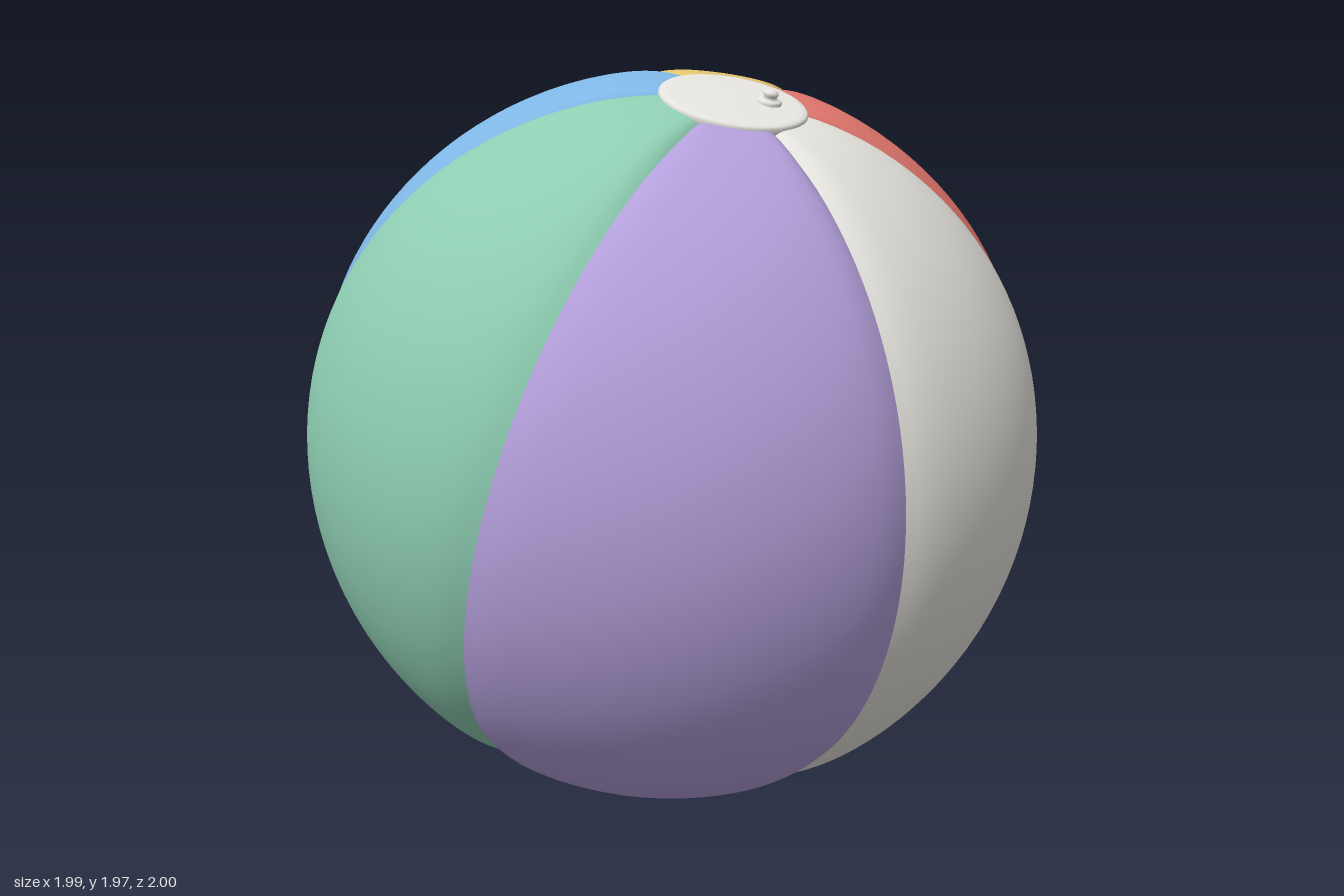
import * as THREE from 'three';

const CENTRE_Y = 0.967;
const TILT = new THREE.Euler(0.394, -0.035, -0.133, 'XZY');
const STEP = Math.PI / 3;

// Panel colours, in order around the ball from the left side (+x) towards the front
const COLOURS = [
  ['white', 0xe6e4de], ['purple', 0xb39fda], ['green', 0x8ecdb2],
  ['blue', 0x7eb6e4], ['yellow', 0xe2c36e], ['red', 0xe3776d],
];

// One gore from pole to pole: puffed in the middle, pinched at its seams, flattened on the ground
function panelGeometry(index, matrix) {
  const geo = new THREE.SphereGeometry(1, 32, 72, Math.PI - (index + 1) * STEP, STEP);
  const pos = geo.attributes.position, uv = geo.attributes.uv;
  const v = new THREE.Vector3();
  const soft = 0.02;
  for (let i = 0; i < pos.count; i++) {
    v.fromBufferAttribute(pos, i);
    const row = Math.floor(i / 33);
    const theta = (row / 72) * Math.PI;
    const t = Math.abs(((i % 33) / 32) * 2 - 1);
    const fromPole = Math.min(theta, Math.PI - theta);
    const pinch = 0.018 * Math.pow(t, 8) * Math.min(1, fromPole / 0.3);
    const poleDip = 0.02 * Math.exp(-Math.pow(fromPole / 0.2, 2));
    v.multiplyScalar(1 - pinch - poleDip).applyMatrix4(matrix);
    // Soft contact with the ground plane
    const h = Math.max(soft - Math.abs(v.y), 0) / soft;
    v.y = Math.max(v.y, 0) + h * h * soft * 0.25;
    pos.setXYZ(i, v.x, v.y, v.z);
  }
  uv.needsUpdate = true;
  geo.computeVertexNormals();
  return geo;
}

// Lathe from [radius, height] pairs, bottom to top
function lathe(points, segments) {
  return new THREE.LatheGeometry(points.map(([x, y]) => new THREE.Vector2(x, y)), segments);
}

export function createModel() {
  const model = new THREE.Group();
  model.name = 'beachBall';

  const materials = COLOURS.map(([name, color]) => {
    const m = new THREE.MeshStandardMaterial({ color });
    m.name = name;
    return m;
  });

  const matrix = new THREE.Matrix4().makeRotationFromEuler(TILT).setPosition(0, CENTRE_Y, 0);

  // Six coloured panels
  materials.forEach((material, i) => {
    const mesh = new THREE.Mesh(panelGeometry(i, matrix), material);
    mesh.name = material.name + 'Panel';
    model.add(mesh);
  });

  // Round end caps and valve share the tilted axis of the ball
  const fittings = new THREE.Group();
  fittings.name = 'fittings';
  fittings.rotation.copy(TILT);
  fittings.position.y = CENTRE_Y;
  model.add(fittings);

  const capGeo = lathe([[0.184, 0.955], [0.187, 0.965], [0.187, 0.977], [0.181, 0.982],
    [0.17, 0.984], [0.09, 0.987], [0, 0.988]], 64);
  ['topCap', 'bottomCap'].forEach((name, i) => {
    const cap = new THREE.Mesh(capGeo, materials[0]);
    cap.name = name;
    cap.rotation.x = i * Math.PI;
    fittings.add(cap);
  });

  // Stepped inflation valve on the top cap
  const valve = new THREE.Mesh(lathe([[0.031, 0], [0.031, 0.008], [0.027, 0.012], [0.017, 0.013],
    [0.016, 0.02], [0.019, 0.024], [0.018, 0.031], [0.01, 0.035], [0, 0.036]], 24), materials[0]);
  valve.name = 'valve';
  valve.position.set(0.087, 0.984, 0);
  fittings.add(valve);

  return model;
}
